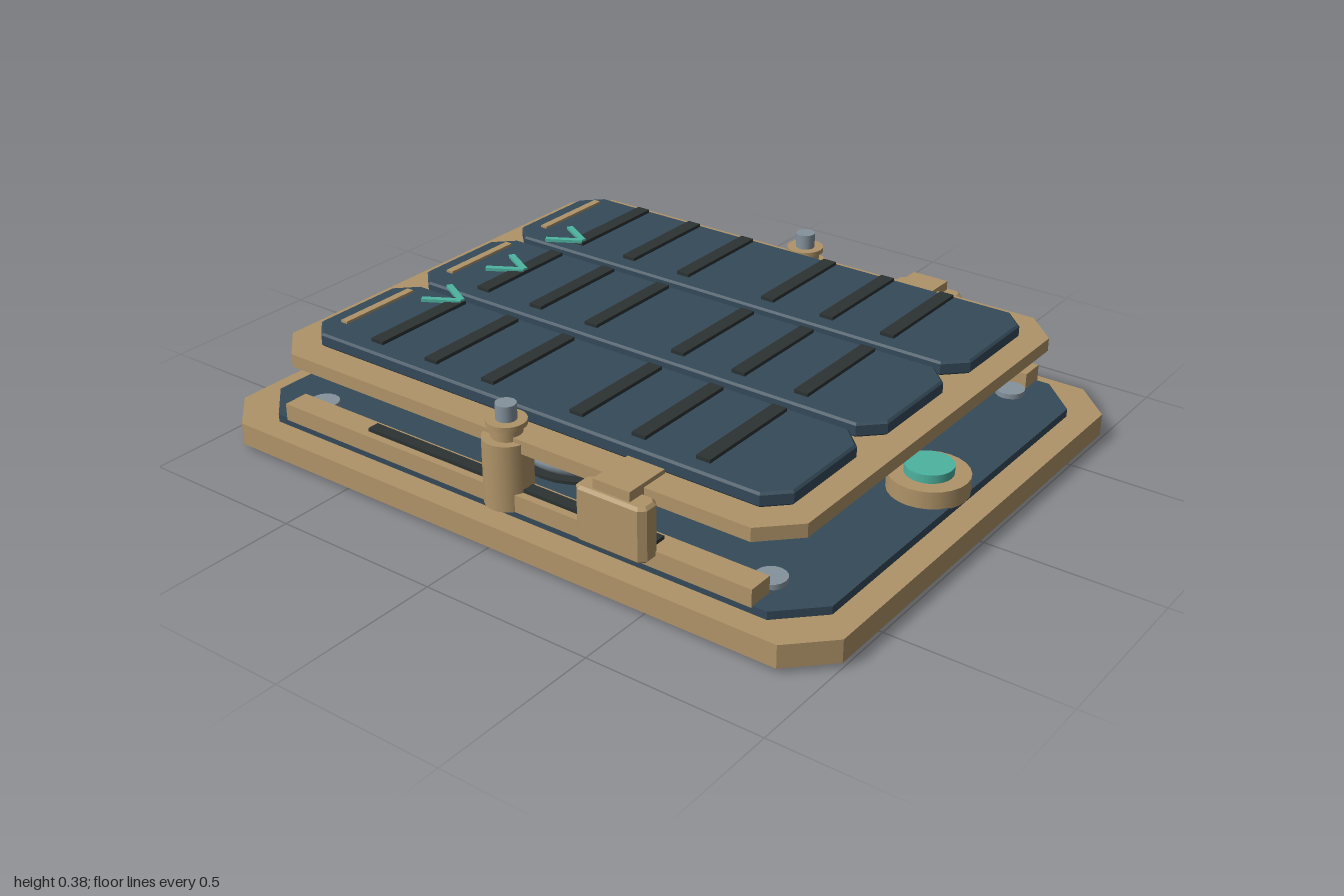
import * as THREE from 'three';

const mat = (name, color) => {
  const m = new THREE.MeshStandardMaterial({ color });
  m.name = name;
  return m;
};

// Octagonal slab: rectangle with cut corners, lying flat from y0 to y1
function slab(w, d, cut, y0, y1, bevel = 0) {
  const x = w / 2 - bevel, z = d / 2 - bevel;
  const shape = new THREE.Shape([
    [-x + cut, -z], [x - cut, -z], [x, -z + cut], [x, z - cut],
    [x - cut, z], [-x + cut, z], [-x, z - cut], [-x, -z + cut],
  ].map(([a, b]) => new THREE.Vector2(a, b)));
  const g = new THREE.ExtrudeGeometry(shape, {
    depth: y1 - y0 - 2 * bevel, bevelEnabled: bevel > 0,
    bevelThickness: bevel, bevelSize: bevel, bevelSegments: 1,
  });
  return g.rotateX(-Math.PI / 2).translate(0, y0 + bevel, 0);
}

class Helix extends THREE.Curve {
  constructor(radius, y0, y1, turns) {
    super();
    Object.assign(this, { radius, y0, y1, turns });
  }
  getPoint(t, target = new THREE.Vector3()) {
    const a = t * this.turns * Math.PI * 2;
    return target.set(Math.cos(a) * this.radius, this.y0 + (this.y1 - this.y0) * t, Math.sin(a) * this.radius);
  }
}

export function createModel() {
  const root = new THREE.Group();
  root.name = 'springPlatform';
  const tan = mat('tan', 0xb09468), navy = mat('navy', 0x344a59), dark = mat('darkRubber', 0x2c3333);
  const steel = mat('steel', 0x84929c), teal = mat('teal', 0x4db3a0);

  const add = (name, geo, material, x = 0, y = 0, z = 0, parent = root) => {
    const m = new THREE.Mesh(geo, material);
    m.name = name;
    m.position.set(x, y, z);
    parent.add(m);
    return m;
  };
  const box = (name, material, x0, x1, y0, y1, z0, z1) =>
    add(name, new THREE.BoxGeometry(Math.abs(x1 - x0), y1 - y0, z1 - z0), material,
      (x0 + x1) / 2, (y0 + y1) / 2, (z0 + z1) / 2);
  const cyl = (name, material, r, y0, y1, x, z, sides = 24) =>
    add(name, new THREE.CylinderGeometry(r, r, y1 - y0, sides), material, x, (y0 + y1) / 2, z);

  // Base and top frames
  add('base', slab(1.58, 2, 0.11, 0.015, 0.08), tan);
  add('baseInlay', slab(1.44, 1.85, 0.11, 0.08, 0.103), navy);
  add('topFrame', slab(1.41, 1.7, 0.095, 0.262, 0.3), tan);
  box('crossbar', steel, -0.63, 0.63, 0.232, 0.262, -0.1, 0.1);

  // Front button
  cyl('buttonHousing', tan, 0.11, 0.1, 0.152, 0, 0.83);
  cyl('button', teal, 0.066, 0.152, 0.176, 0, 0.83);

  for (const s of [-1, 1]) {
    // Feet and corner bolts
    for (const e of [-1, 1]) {
      box('foot', dark, s * 0.47, s * 0.7, 0, 0.015, e * 0.733 - 0.145, e * 0.733 + 0.145);
      cyl('cornerBolt', steel, 0.042, 0.1, 0.118, s * 0.605, e * 0.75, 16);
    }

    // Side rail with its dark insert
    box('sideRail', tan, s * 0.65, s * 0.725, 0.1, 0.15, -0.775, 0.775);
    box('railInsert', dark, s * 0.668, s * 0.703, 0.15, 0.16, -0.48, 0.48);

    // Coil spring between two seats
    const spring = new THREE.TubeGeometry(new Helix(0.157, 0.122, 0.232, 2.75), 110, 0.023, 10);
    add('spring', spring, steel, s * 0.39, 0, 0).rotation.y = Math.PI / 2;
    cyl('springSeat', dark, 0.17, 0.1, 0.112, s * 0.39, 0);
    cyl('springCap', tan, 0.19, 0.244, 0.262, s * 0.39, 0);

    // Guide post
    cyl('guidePost', tan, 0.066, 0.1, 0.288, s * 0.685, 0);
    cyl('guideNeck', tan, 0.042, 0.288, 0.322, s * 0.685, 0);
    cyl('guideCollar', tan, 0.054, 0.322, 0.336, s * 0.685, 0);
    cyl('guideRod', steel, 0.028, 0.336, 0.38, s * 0.685, 0);

    // Latch block and arm
    const block = slab(0.07, 0.214, 0.012, 0.13, 0.285, 0.008);
    add('latchBlock', block, tan, s * 0.74, 0, 0.39);
    box('latchArm', tan, s * 0.62, s * 0.76, 0.28, 0.312, 0.335, 0.447);
  }

  // Three tread panels with grip bars, label bars and chevrons
  for (const i of [-1, 0, 1]) {
    const x = i * 0.425;
    add('treadPanel', slab(0.394, 1.56, 0.055, 0.3, 0.34, 0.006), navy, x);
    for (const z of [-0.54, -0.345, -0.147, 0.147, 0.343, 0.537])
      box('gripBar', dark, x - 0.165, x + 0.165, 0.35, 0.36, z - 0.021, z + 0.021);
    box('labelBar', tan, x - 0.131, x + 0.131, 0.352, 0.359, -0.71, -0.688);

    const chevron = new THREE.Group();
    chevron.name = 'chevron';
    chevron.position.set(i * 0.27, 0.361, -0.575);
    for (const s of [-1, 1]) {
      const arm = add('chevronArm', new THREE.BoxGeometry(0.018, 0.009, 0.112), teal, s * 0.029, 0, 0, chevron);
      arm.rotation.y = -s * 0.52;
    }
    root.add(chevron);
  }
  return root;
}
